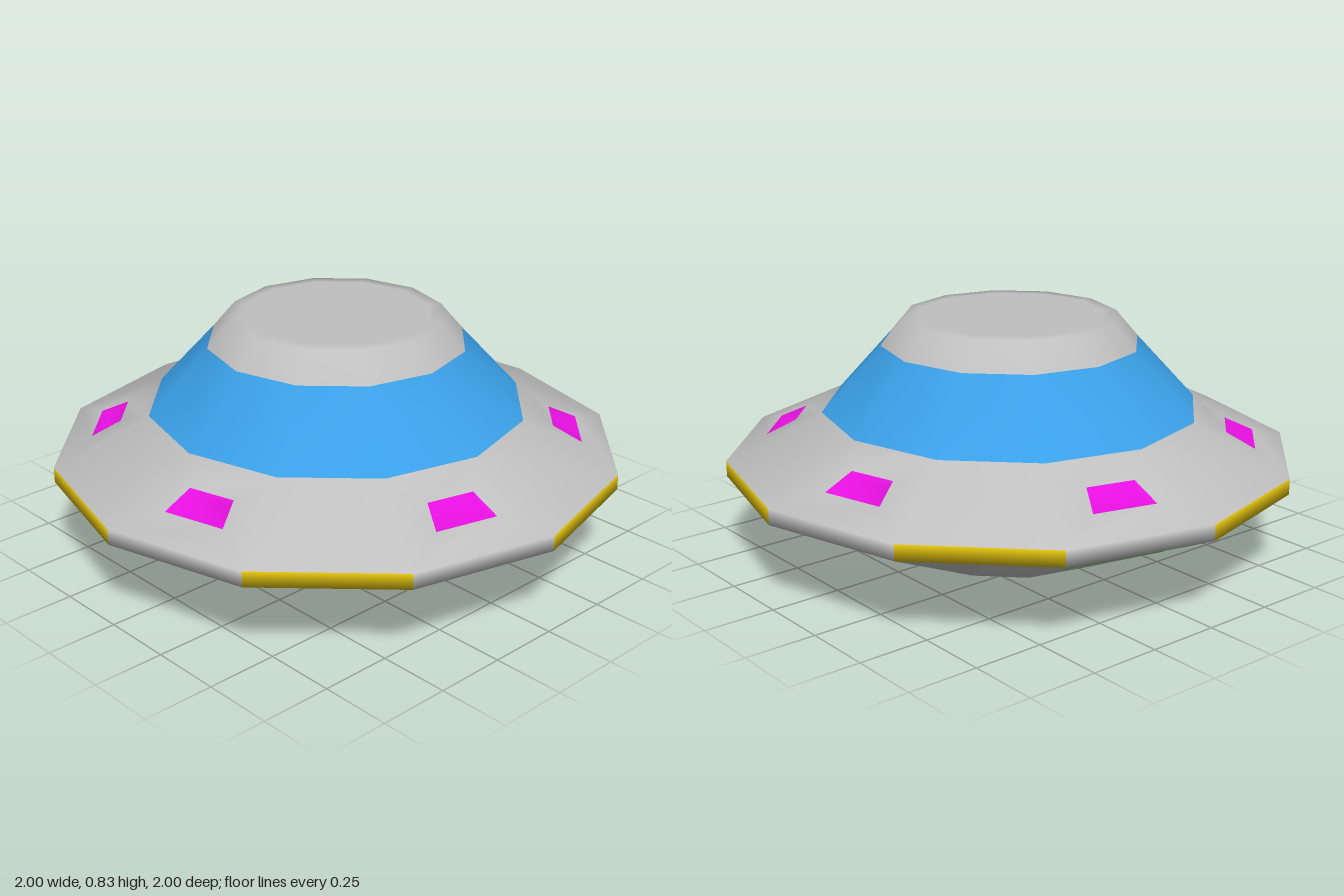
import * as THREE from 'three';

const SIDES = 12;
const paint = (name, color, side = THREE.FrontSide) =>
  Object.assign(new THREE.MeshStandardMaterial({ color, side }), { name });

export function createModel() {
  const group = new THREE.Group();
  const grey = paint('hull grey', 0xbfbfbf);
  const blue = paint('canopy blue', 0x3a9fe6);
  const magenta = paint('window magenta', 0xe610e0);
  const green = paint('window green', 0x50d82e);
  const yellow = paint('trim yellow', 0xdabb0c);

  const points = [];
  const parts = { hull: [], canopy: [], upperWindows: [], lowerWindows: [], rimLights: [] };
  const add = (v) => points.push(v) - 1;
  const quad = (part, a, b, c, d) => parts[part].push(a, b, c, a, c, d);

  // Saucer cross-section as [radius, height], from the hatch opening up to the roof
  const profile = [
    [0.255, 0], [0.375, 0], [1, 0.295], [1, 0.35],
    [0.665, 0.51], [0.455, 0.74], [0.375, 0.835], [0.33, 0.835],
  ];
  const rings = profile.map(([r, y]) => Array.from({ length: SIDES }, (_, i) => {
    const a = (i / SIDES) * Math.PI * 2;
    return add(new THREE.Vector3(r * Math.cos(a), y, r * Math.sin(a)));
  }));

  // Facet with a recessed window: a collar of hull, coloured walls and floor
  function windowFacet(part, corners, [v0, v1, h0, h1], depth) {
    const [A, D, C, B] = corners.map((i) => points[i]);
    const at = (u, v) => A.clone().lerp(B, u).lerp(D.clone().lerp(C, u), v);
    const spots = [
      at(0.5 - h0, v0), at(0.5 - h1, v1), at(0.5 + h1, v1), at(0.5 + h0, v0),
    ];
    const inward = D.clone().sub(A).cross(B.clone().sub(A)).normalize().multiplyScalar(-depth);
    const rim = spots.map(add);
    const floor = spots.map((p) => add(p.clone().add(inward)));
    for (let k = 0; k < 4; k++) {
      const n = (k + 1) % 4;
      quad('hull', corners[k], corners[n], rim[n], rim[k]);
      quad(part, rim[k], rim[n], floor[n], floor[k]);
    }
    quad(part, ...floor);
  }

  // Facets; windows sit on every second side, rim lights on the others
  for (let j = 0; j < rings.length - 1; j++) {
    for (let i = 0; i < SIDES; i++) {
      const n = (i + 1) % SIDES;
      const corners = [rings[j][i], rings[j + 1][i], rings[j + 1][n], rings[j][n]];
      const even = i % 2 === 0;
      if (j === 1 && even) windowFacet('lowerWindows', corners, [0.695, 0.85, 0.43, 0.48], 0.035);
      else if (j === 3 && even) windowFacet('upperWindows', corners, [0.34, 0.65, 0.245, 0.21], 0.035);
      else quad(j === 4 ? 'canopy' : j === 2 && !even ? 'rimLights' : 'hull', ...corners);
    }
  }

  // Roof disc
  const roof = rings[rings.length - 1];
  const centre = add(new THREE.Vector3(0, 0.835, 0));
  roof.forEach((p, i) => parts.hull.push(p, centre, roof[(i + 1) % SIDES]));

  // Smooth normals are shared across the parts so the shading runs on between them
  const shell = new THREE.BufferGeometry().setFromPoints(points);
  shell.setIndex(Object.values(parts).flat());
  shell.computeVertexNormals();
  const colours = {
    hull: grey, canopy: blue, upperWindows: magenta, lowerWindows: green, rimLights: yellow,
  };
  for (const [name, index] of Object.entries(parts)) {
    const geometry = new THREE.BufferGeometry();
    geometry.setAttribute('position', shell.attributes.position);
    geometry.setAttribute('normal', shell.attributes.normal);
    geometry.setIndex(index);
    const mesh = new THREE.Mesh(geometry, colours[name]);
    mesh.name = name;
    group.add(mesh);
  }

  // Hatch in the underside: flat ring, inner wall and blue ceiling
  const hatch = new THREE.Group();
  hatch.name = 'hatch';
  const trim = paint('hatch yellow', 0xdabb0c, THREE.DoubleSide);
  const piece = (name, geometry, material, y, rx = 0) => {
    const mesh = new THREE.Mesh(geometry, material);
    mesh.name = name;
    mesh.position.y = y;
    mesh.rotation.x = rx;
    hatch.add(mesh);
  };
  piece('hatchRing', new THREE.RingGeometry(0.21, 0.255, SIDES), trim, 0, Math.PI / 2);
  const wall = new THREE.CylinderGeometry(0.21, 0.21, 0.12, SIDES, 1, true).rotateY(Math.PI / 2);
  piece('hatchWall', wall, trim, 0.06);
  piece('hatchCeiling', new THREE.CircleGeometry(0.21, SIDES), blue, 0.12, Math.PI / 2);
  group.add(hatch);

  return group;
}
